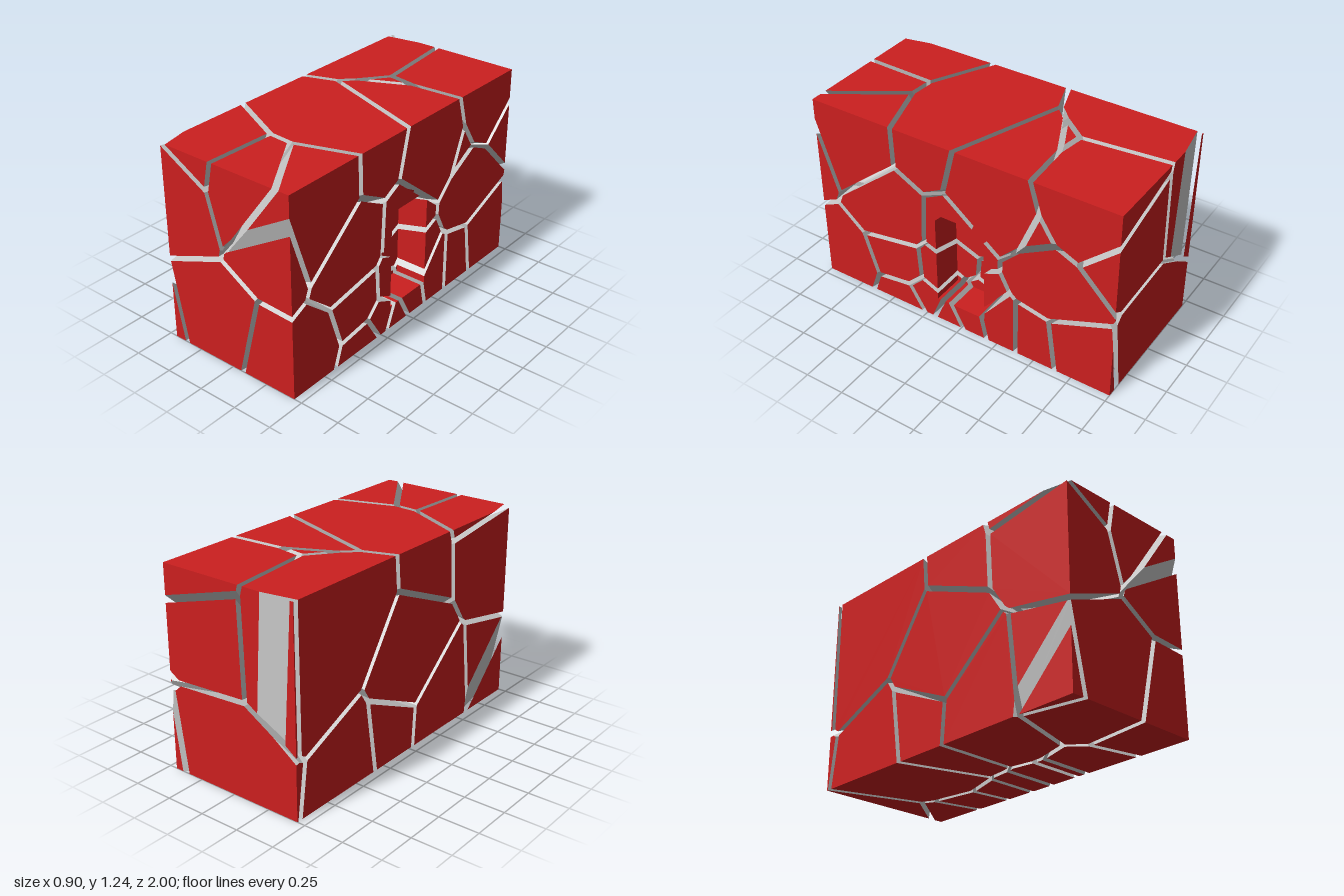
import * as THREE from 'three';

const W = 0.45, H = 1.24, D = 1, GAP = 0.016;
const v = (x, y, z) => new THREE.Vector3(x, y, z);

// One point per fragment; a few lie outside the block to tilt the cracks
const seeds = [
  // front and upper front
  [-0.335, 1.06, 0.96], [-0.24, 1.23, 0.94], [0.05, 1.17, 0.95], [0.28, 1.0, 0.8],
  [0.355, 0.874, 1.17], [0.32, 0.16, 0.84], [-0.025, 0.247, 0.8], [-0.81, 0.09, 0.956],
  // middle and rear top
  [0.1, 1.02, 0.25], [0.27, 0.9, -0.236], [0.177, 0.82, -0.43], [0.233, 1.065, -0.81],
  [0.19, 0.916, -0.945], [-0.25, 0.93, -0.76], [-0.33, 0.925, -1.247],
  // lower left side and back
  [-0.2, 0.42, 0], [-0.2, 0.18, 0.2], [-0.2, 0.2, -0.1], [-0.1, 0.15, -0.42], [0.15, 0.25, -1.15],
  // right side
  [0.34, 0.6, 0.47], [0.36, 0.3, 0.42], [0.42, 0.55, -0.58], [0.5, 0.2, -0.72], [0.45, 0.17, -0.5],
  // small fragments round the recess
  [0.35, 0.58, 0.02], [0.42, 0.3, -0.1], [0.42, 0.32, 0.12], [0.42, 0.1, 0.22],
  [0.42, 0.12, -0.03], [0.42, 0.17, -0.26], [0.42, 0.05, 0.1], [0.42, 0.0, 0.38],
].map((s) => v(...s));

// Recess in the right side: outward planes with chamfered upper corners
const recess = [
  [v(-1, 0, 0), -0.25], [v(0, 0, 1), 0.165], [v(0, 0, -1), 0.165],
  [v(0, 1, 0), 0.77], [v(0, -1, 0), -0.15],
  [v(0, 0.707, 0.707), 0.63], [v(0, 0.707, -0.707), 0.63],
];

// A convex solid is a list of faces { pts, cut }
function block() {
  const faces = [];
  for (const axis of ['x', 'y', 'z']) for (const side of [-1, 1]) {
    const n = v(0, 0, 0);
    n[axis] = side;
    const a = axis === 'y' ? v(1, 0, 0) : v(0, 1, 0);
    const b = n.clone().cross(a);
    const pts = [[-1, -1], [1, -1], [1, 1], [-1, 1]].map(([i, j]) =>
      n.clone().addScaledVector(a, i).addScaledVector(b, j)
        .multiply(v(W, H / 2, D)).add(v(0, H / 2, 0)));
    faces.push({ pts, cut: false });
  }
  return faces;
}

// Keep the part where n.p <= c and close it with a cap
function clip(faces, n, c, cut) {
  const out = [], rim = [];
  for (const f of faces) {
    const pts = [];
    f.pts.forEach((p, i) => {
      const q = f.pts[(i + 1) % f.pts.length];
      const dp = n.dot(p) - c, dq = n.dot(q) - c;
      if (dp <= 0) pts.push(p);
      if ((dp <= 0) !== (dq <= 0)) {
        const m = p.clone().lerp(q, dp / (dp - dq));
        pts.push(m);
        rim.push(m);
      }
    });
    if (pts.length > 2) out.push({ pts, cut: f.cut });
  }
  if (rim.length > 2) {
    const mid = rim.reduce((s, p) => s.add(p), v(0, 0, 0)).divideScalar(rim.length);
    const a = (Math.abs(n.y) < 0.9 ? v(0, 1, 0) : v(1, 0, 0)).cross(n).normalize();
    const b = n.clone().cross(a);
    const angle = (p) => {
      const d = p.clone().sub(mid);
      return Math.atan2(d.dot(b), d.dot(a));
    };
    out.push({ pts: rim.sort((p, q) => angle(p) - angle(q)), cut });
  }
  return out;
}

// Cell of one seed: the block trimmed halfway to every other seed
function cell(seed) {
  let faces = block();
  for (const other of seeds) {
    if (other === seed) continue;
    const n = other.clone().sub(seed).normalize();
    const mid = other.clone().add(seed).multiplyScalar(0.5);
    faces = clip(faces, n, n.dot(mid) - GAP, true);
  }
  return faces;
}

// Take the recess out of a solid by peeling off what lies beyond each plane
function carve(faces) {
  let inside = faces;
  const kept = [];
  for (const [n, c] of recess) {
    kept.push(...clip(inside, n.clone().negate(), -c, false));
    inside = clip(inside, n, c, false);
  }
  return inside.length ? kept : faces;
}

function addFaces(group, faces, material, name) {
  const pos = [];
  for (const { pts } of faces)
    for (let i = 1; i < pts.length - 1; i++)
      for (const p of [pts[0], pts[i], pts[i + 1]]) pos.push(p.x, p.y, p.z);
  if (!pos.length) return;
  const geo = new THREE.BufferGeometry();
  geo.setAttribute('position', new THREE.Float32BufferAttribute(pos, 3));
  geo.computeVertexNormals();
  const mesh = new THREE.Mesh(geo, material);
  mesh.name = name;
  group.add(mesh);
}

export function createModel() {
  const red = new THREE.MeshStandardMaterial({ color: 0xcc1f1f });
  const grey = new THREE.MeshStandardMaterial({ color: 0xcccccc });
  const model = new THREE.Group();
  model.name = 'fracturedBlock';
  seeds.forEach((seed, i) => {
    const faces = carve(cell(seed));
    if (!faces.length) return;
    const fragment = new THREE.Group();
    fragment.name = `fragment${i + 1}`;
    addFaces(fragment, faces.filter((f) => !f.cut), red, 'outerSkin');
    addFaces(fragment, faces.filter((f) => f.cut), grey, 'brokenFaces');
    model.add(fragment);
  });
  return model;
}
